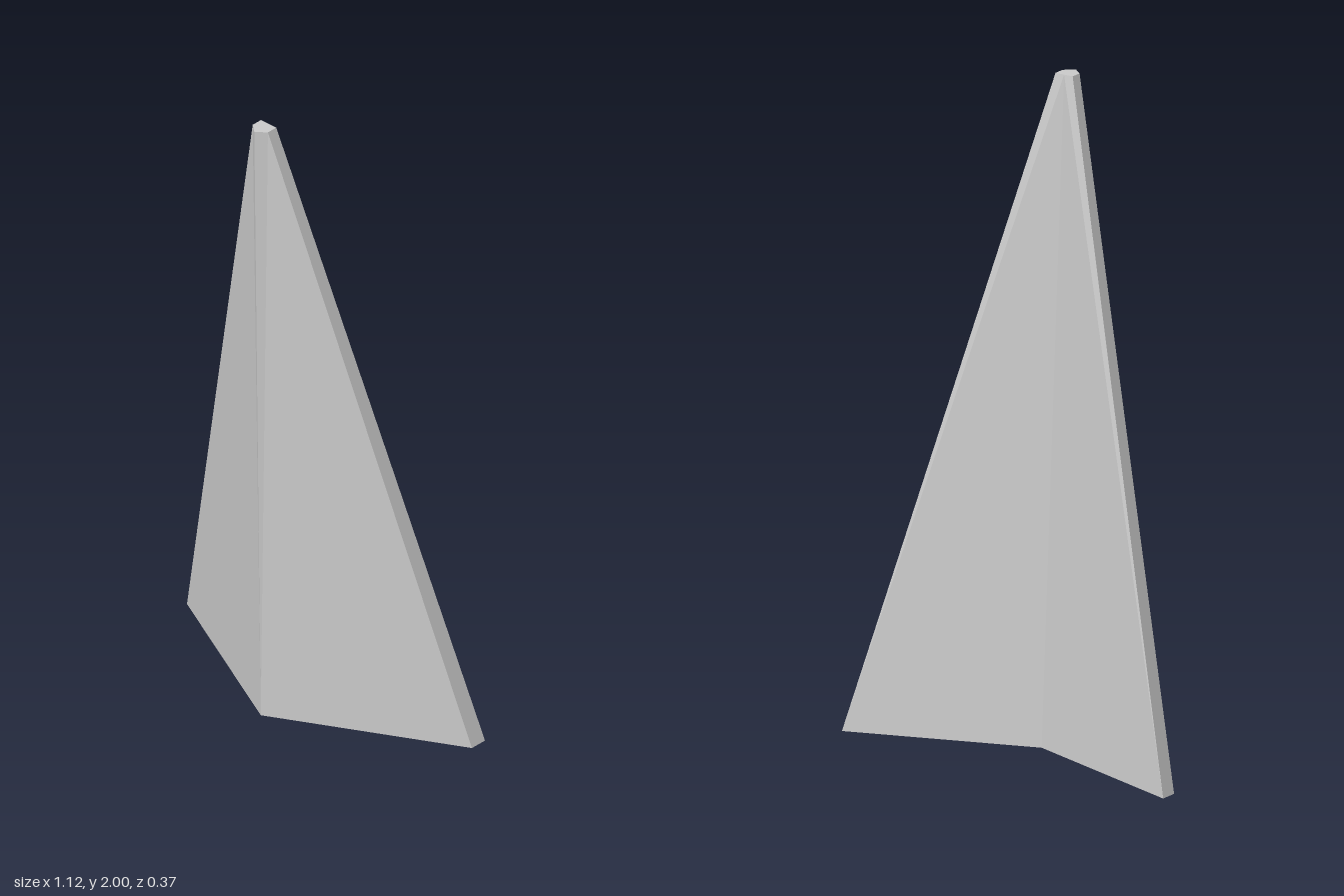
import * as THREE from 'three';

// Chevron cross-section, counter-clockwise seen from above
function chevron(y, halfWidth, frontZ, tipFrontZ, tipBackZ, backZ) {
  return [
    [0, y, frontZ], [halfWidth, y, tipFrontZ], [halfWidth, y, tipBackZ],
    [0, y, backZ], [-halfWidth, y, tipBackZ], [-halfWidth, y, tipFrontZ],
  ];
}

// Loft between two six-point sections, with mirrored diagonals and closed ends
function loft(bottom, top) {
  const positions = [];
  const quad = (a, b, c, d) => positions.push(...a, ...b, ...c, ...a, ...c, ...d);
  for (let i = 0; i < 6; i++) {
    const j = (i + 1) % 6;
    if (i < 3) quad(bottom[i], bottom[j], top[j], top[i]);
    else quad(bottom[j], top[j], top[i], bottom[i]);
  }
  for (const [a, b, c, d] of [[0, 1, 2, 3], [0, 3, 4, 5]]) {
    quad(top[a], top[b], top[c], top[d]);
    quad(bottom[d], bottom[c], bottom[b], bottom[a]);
  }
  const geometry = new THREE.BufferGeometry();
  geometry.setAttribute('position', new THREE.Float32BufferAttribute(positions, 3));
  geometry.computeVertexNormals();
  return geometry;
}

export function createModel() {
  const group = new THREE.Group();
  group.name = 'foldedFin';

  // Tapering V-shaped fin, leaning forward to a small blunt top
  const bottom = chevron(0, 0.562, 0.158, -0.13, -0.185, 0.012);
  const top = chevron(2, 0.03, 0.185, 0.16, 0.125, 0.125);
  const material = new THREE.MeshStandardMaterial({ color: 0xcccccc, flatShading: true });
  const fin = new THREE.Mesh(loft(bottom, top), material);
  fin.name = 'fin';
  group.add(fin);

  return group;
}
